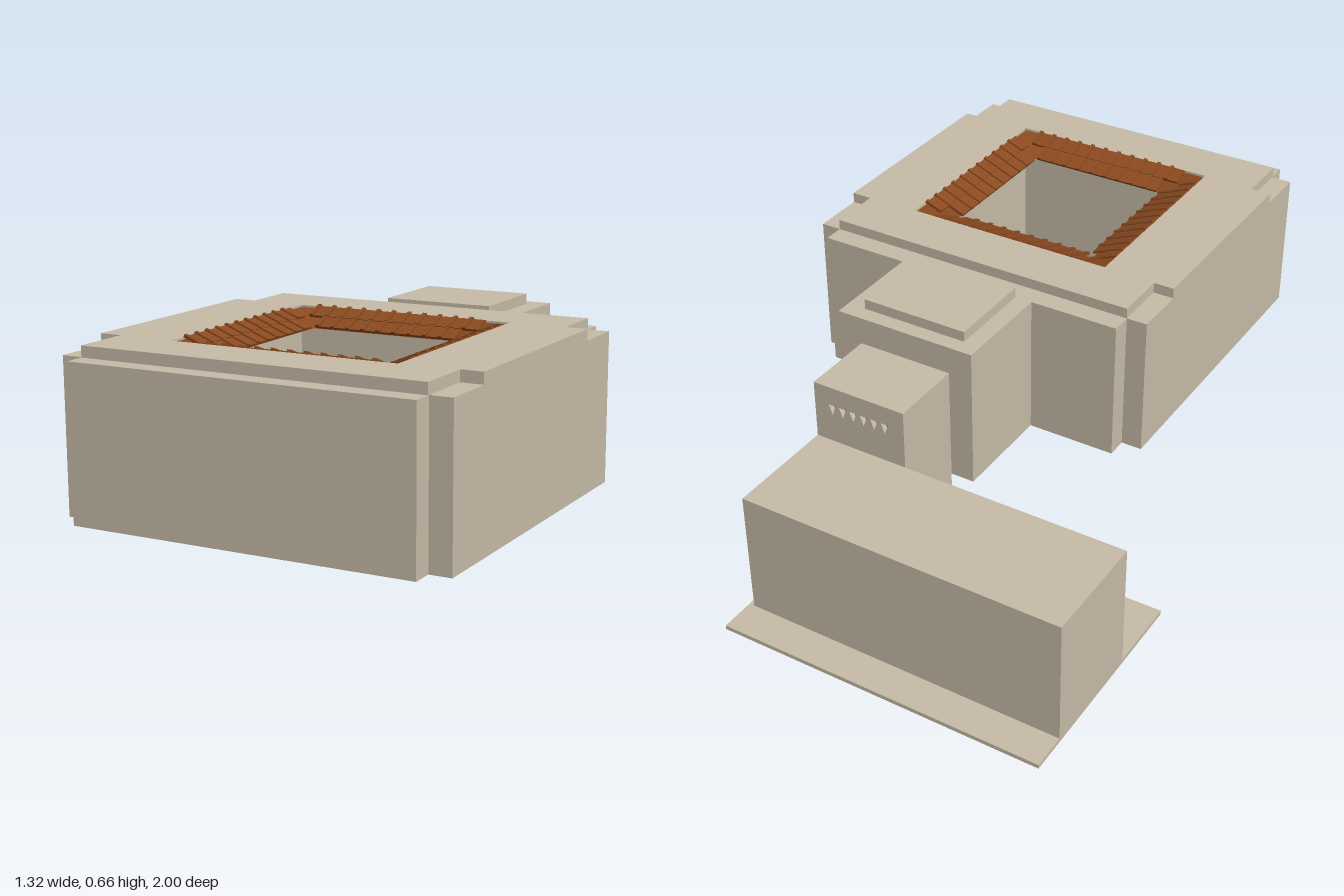
import * as THREE from 'three';

const stone = new THREE.MeshStandardMaterial({ color: 0xc8bda8 });
const tile = new THREE.MeshStandardMaterial({ color: 0x8b4a20, side: THREE.DoubleSide });
const dark = new THREE.MeshStandardMaterial({ color: 0x4a2a1a });

function add(parent, name, geometry, material = stone) {
  const mesh = new THREE.Mesh(geometry, material);
  mesh.name = name;
  parent.add(mesh);
  return mesh;
}

// Box given by its extents on each axis
function block(parent, name, [x0, x1], [y0, y1], [z0, z1]) {
  const mesh = add(parent, name, new THREE.BoxGeometry(x1 - x0, y1 - y0, z1 - z0));
  mesh.position.set((x0 + x1) / 2, (y0 + y1) / 2, (z0 + z1) / 2);
  return mesh;
}

const YARD = { x: 0.13, z: 0.475, half: 0.315 };

// Cross-shaped plan: an outer rectangle with its four corners cut to an inner one
function crossPlan([x0, x1], [xi0, xi1], [z0, z1], [zi0, zi1]) {
  const points = [
    [xi0, z0], [xi1, z0], [xi1, zi0], [x1, zi0], [x1, zi1], [xi1, zi1],
    [xi1, z1], [xi0, z1], [xi0, zi1], [x0, zi1], [x0, zi0], [xi0, zi0],
  ];
  const shape = new THREE.Shape(points.map(([x, z]) => new THREE.Vector2(x, z)));
  const { x, z, half: h } = YARD;
  shape.holes.push(new THREE.Path([
    new THREE.Vector2(x - h, z - h), new THREE.Vector2(x - h, z + h),
    new THREE.Vector2(x + h, z + h), new THREE.Vector2(x + h, z - h),
  ]));
  return shape;
}

function storey(parent, name, plan, bottom, top) {
  const geometry = new THREE.ExtrudeGeometry(plan, { depth: top - bottom, bevelEnabled: false });
  geometry.rotateX(Math.PI / 2);
  add(parent, name, geometry).position.y = top;
}

// Tiled roof sloping inward around the courtyard
function courtyardRoof() {
  const roof = new THREE.Group();
  roof.name = 'courtyardRoof';
  roof.position.set(YARD.x, 0, YARD.z);
  const outer = 0.312, inner = 0.225, high = 0.645, low = 0.605;
  const slope = Math.atan2(high - low, outer - inner);

  const deck = new THREE.CylinderGeometry(
    outer * Math.SQRT2, inner * Math.SQRT2, high - low, 4, 1, true);
  deck.rotateY(Math.PI / 4);
  add(roof, 'roofDeck', deck, tile).position.y = (high + low) / 2;

  const pan = new THREE.BoxGeometry(0.036, 0.006, 0.052);
  const cover = new THREE.CylinderGeometry(0.007, 0.009, 0.052, 6, 1, false, 0, Math.PI);
  cover.rotateZ(Math.PI / 2).rotateY(Math.PI / 2);
  const courses = 2, columns = 13, pitch = 0.046;
  for (let side = 0; side < 4; side++) {
    const slopeGroup = new THREE.Group();
    slopeGroup.name = 'roofSlope';
    slopeGroup.rotation.y = side * Math.PI / 2;
    for (let row = 0; row < courses; row++) {
      const t = (row + 0.5) / courses;
      const r = THREE.MathUtils.lerp(outer, inner - 0.008, t);
      const y = THREE.MathUtils.lerp(high, low, t) + 0.005;
      for (let i = 0; i < columns; i++) {
        const s = (i - (columns - 1) / 2) * pitch;
        if (Math.abs(s) > r - 0.015) continue;
        const panTile = add(slopeGroup, 'panTile', pan, tile);
        panTile.position.set(s, y, r);
        panTile.rotation.x = -slope * 0.85;
        const ridge = add(slopeGroup, 'coverTile',
          new THREE.BoxGeometry(0.011, 0.009, 0.056), tile);
        ridge.position.set(s + pitch / 2, y + 0.003, r);
        ridge.rotation.x = -slope * 0.85;
      }
    }
    roof.add(slopeGroup);
  }
  return roof;
}

// Tower back wall pierced by a row of downward triangular vents
function ventWall(parent) {
  const shape = new THREE.Shape([
    new THREE.Vector2(-0.01, 0), new THREE.Vector2(0.27, 0),
    new THREE.Vector2(0.27, 0.54), new THREE.Vector2(-0.01, 0.54),
  ]);
  for (let i = 0; i < 6; i++) {
    const x = 0.05 + i * 0.033;
    shape.holes.push(new THREE.Path([
      new THREE.Vector2(x - 0.011, 0.485), new THREE.Vector2(x + 0.011, 0.485),
      new THREE.Vector2(x, 0.455),
    ]));
  }
  const wall = new THREE.ExtrudeGeometry(shape, { depth: 0.02, bevelEnabled: false });
  add(parent, 'towerVentWall', wall).position.z = -0.58;
  const backing = add(parent, 'ventBacking', new THREE.BoxGeometry(0.22, 0.05, 0.004), dark);
  backing.position.set(0.13, 0.47, -0.561);
}

export function createModel() {
  const model = new THREE.Group();
  model.name = 'courtyardHouse';

  // Main house around the courtyard
  storey(model, 'houseWalls',
    crossPlan([-0.4, 0.66], [-0.34, 0.6], [-0.06, 1], [0, 0.94]), 0.21, 0.62);
  storey(model, 'houseRoof',
    crossPlan([-0.4, 0.66], [-0.34, 0.6], [0, 0.945], [0.155, 0.785]), 0.62, 0.65);
  const { x, z, half: h } = YARD;
  block(model, 'courtyardFloor', [x - h, x + h], [0.21, 0.225], [z - h, z + h]);
  model.add(courtyardRoof());

  // Link between the house and the lower wing
  block(model, 'linkWalls', [-0.08, 0.34], [0.21, 0.62], [-0.365, -0.06]);
  block(model, 'linkRoof', [-0.03, 0.285], [0.62, 0.65], [-0.32, -0.06]);

  // Stair tower and lower wing on a thin paving slab
  block(model, 'tower', [-0.01, 0.27], [0, 0.54], [-0.56, -0.365]);
  ventWall(model);
  block(model, 'lowerWing', [-0.66, 0.27], [0, 0.37], [-0.9, -0.58]);
  block(model, 'paving', [-0.66, 0.285], [0, 0.012], [-1, -0.365]);

  return model;
}
